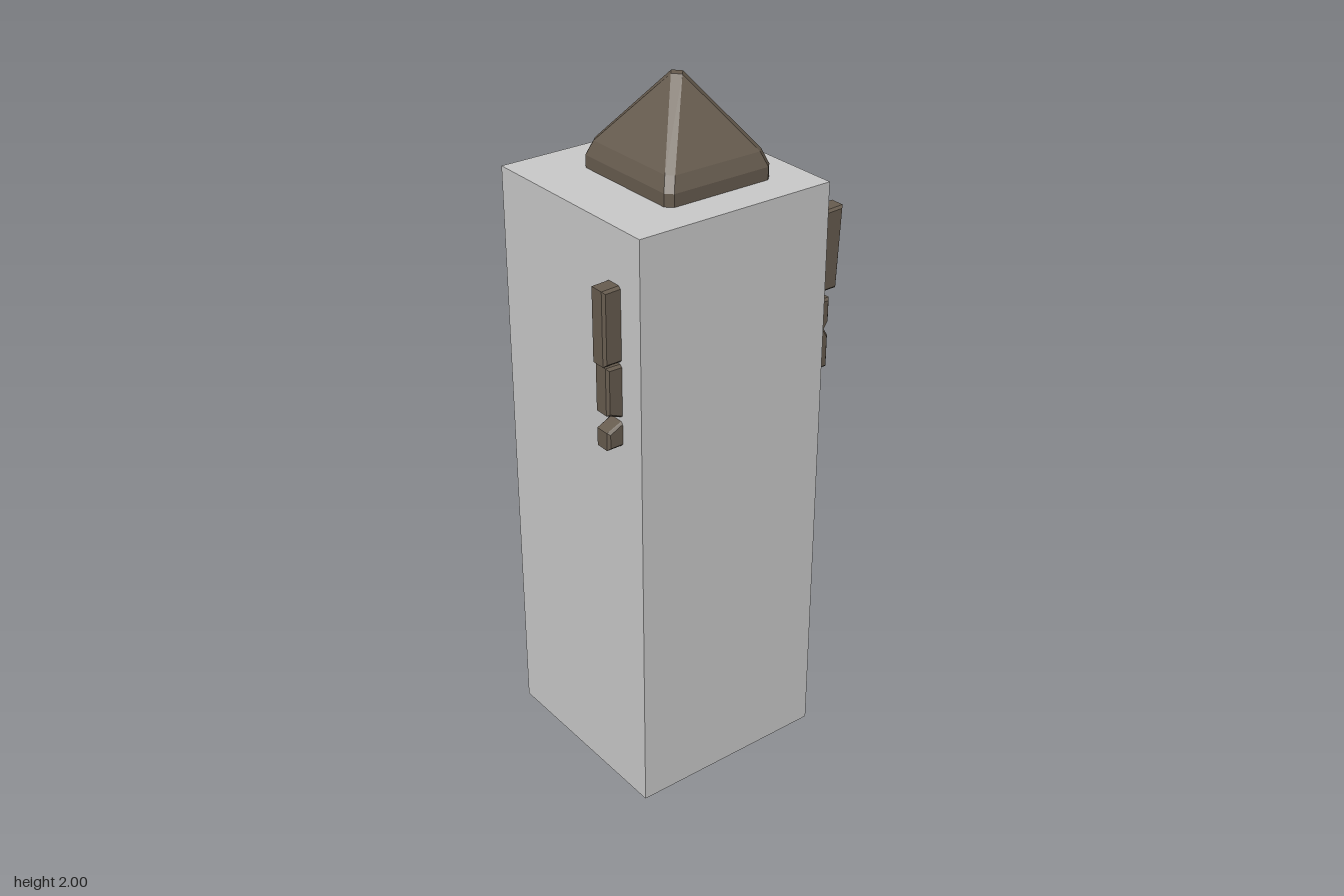
import * as THREE from 'three';

const wood = new THREE.MeshStandardMaterial({ name: 'dark wood', color: 0x675c4f });
const grey = new THREE.MeshStandardMaterial({ name: 'light grey', color: 0xcacaca });

// Rectangle with cut corners at height y: half sizes hx, hz and corner cuts cx, cz
function ring(y, hx, hz, cx, cz) {
  return [
    [hx, hz - cz], [hx, -hz + cz], [hx - cx, -hz], [-hx + cx, -hz],
    [-hx, -hz + cz], [-hx, hz - cz], [-hx + cx, hz], [hx - cx, hz],
  ].map(([x, z]) => [x, y, z]);
}

// Flat-sided skin over the rings from bottom to top, closed on top and open below
function loft(rings) {
  const pos = [];
  const tri = (a, b, c) => pos.push(...a, ...b, ...c);
  for (let r = 0; r < rings.length - 1; r++) {
    const lo = rings[r], hi = rings[r + 1];
    for (let i = 0; i < 8; i++) {
      const j = (i + 1) % 8;
      tri(lo[i], lo[j], hi[j]);
      tri(lo[i], hi[j], hi[i]);
    }
  }
  const top = rings[rings.length - 1];
  for (let i = 1; i < 7; i++) tri(top[0], top[i], top[i + 1]);
  const geo = new THREE.BufferGeometry();
  geo.setAttribute('position', new THREE.Float32BufferAttribute(pos, 3));
  geo.computeVertexNormals();
  return geo;
}

// Bevelled plank cut from an outline in the x-y plane
function plank(name, outline) {
  const bevel = 0.007, thick = 0.055;
  const shape = new THREE.Shape(outline.map(([x, y]) => new THREE.Vector2(x, y)));
  const geo = new THREE.ExtrudeGeometry(shape, {
    depth: thick - 2 * bevel, bevelEnabled: true, bevelSegments: 1,
    bevelSize: bevel, bevelThickness: bevel, bevelOffset: -bevel,
  });
  geo.translate(0, 0, 0.165 + bevel);
  const mesh = new THREE.Mesh(geo, wood);
  mesh.name = name;
  return mesh;
}

export function createModel() {
  const group = new THREE.Group();
  group.name = 'signpost';

  // Square post with a pointed top
  const post = new THREE.Mesh(loft([
    ring(0, 0.162, 0.179, 0.018, 0.018),
    ring(0.007, 0.168, 0.185, 0.018, 0.018),
    ring(1.77, 0.168, 0.185, 0.018, 0.018),
    ring(1.81, 0.153, 0.169, 0.018, 0.018),
    ring(2.0, 0.019, 0.023, 0.019, 0.023),
  ]), wood);
  post.name = 'post';
  post.position.set(-0.006, 0, 0.01);
  group.add(post);

  // Block enclosing the post
  const block = new THREE.Mesh(new THREE.BoxGeometry(0.6, 1.72, 0.6), grey);
  block.name = 'block';
  block.position.set(-0.04, 0.875, 0);
  group.add(block);

  // Sign planks passing through the block
  group.add(plank('upperPlank', [
    [-0.392, 1.375], [0.378, 1.375], [0.39, 1.612], [-0.392, 1.582],
  ]));
  group.add(plank('lowerPlank', [
    [-0.385, 1.134], [0.356, 1.142], [0.356, 1.238], [0.342, 1.26], [0.356, 1.282],
    [0.356, 1.352], [-0.385, 1.37], [-0.385, 1.235], [-0.325, 1.212], [-0.385, 1.185],
  ]));

  return group;
}
